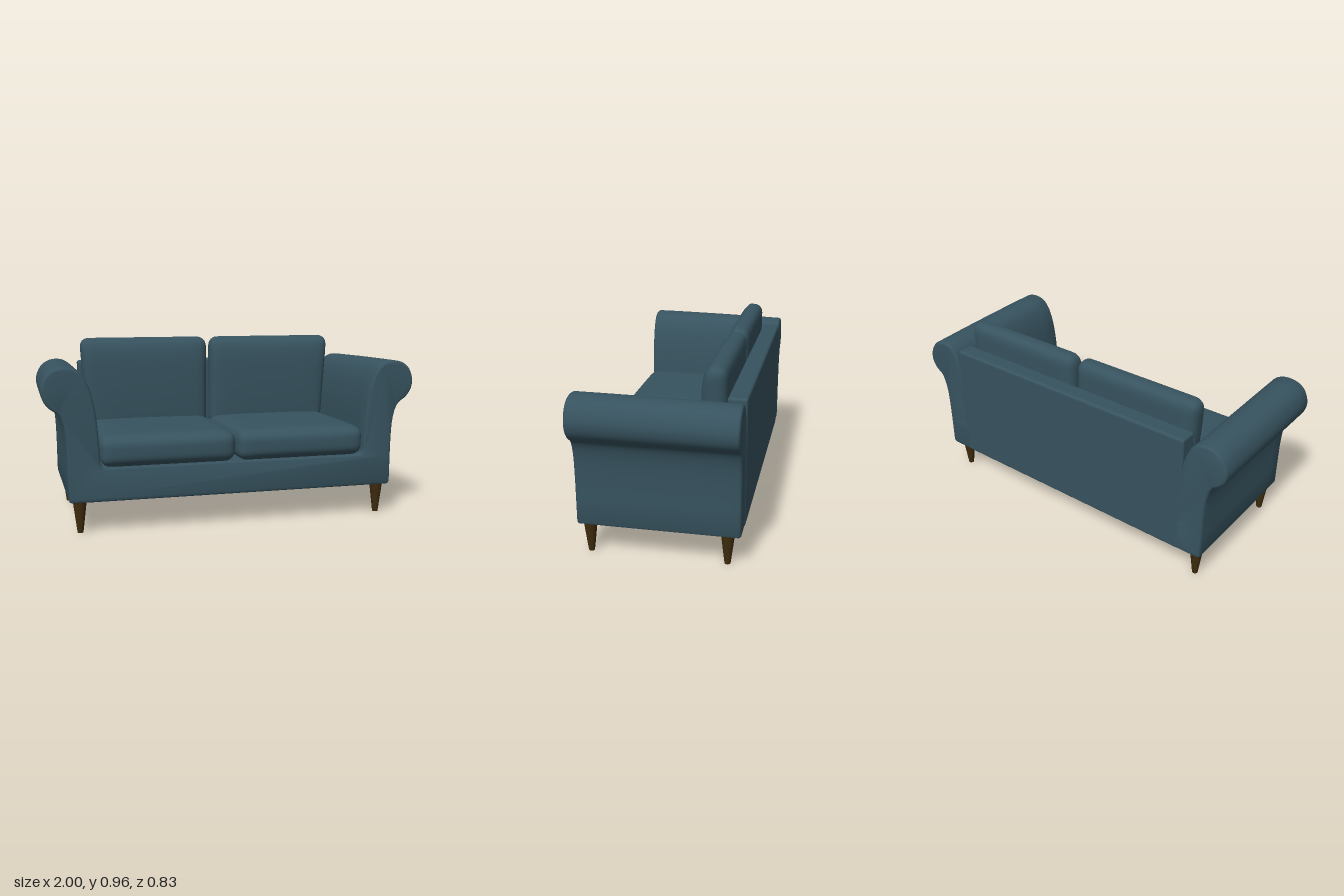
import * as THREE from 'three';
import { mergeVertices, toCreasedNormals } from 'three/addons/utils/BufferGeometryUtils.js';
import { RoundedBoxGeometry } from 'three/addons/geometries/RoundedBoxGeometry.js';

const clamp = THREE.MathUtils.clamp;

// Rounded, evenly smoothed box; rule(p, s) then reshapes each point, s being -1..1 per axis
function softBox(w, h, d, r, rule) {
  const n = 20;
  let geo = new THREE.BoxGeometry(2, 2, 2, n, n, n);
  geo.deleteAttribute('uv');
  geo.deleteAttribute('normal');
  geo = mergeVertices(geo);
  const half = new THREE.Vector3(w / 2, h / 2, d / 2);
  const core = half.clone().subScalar(r);
  const pos = geo.attributes.position;
  const s = new THREE.Vector3(), p = new THREE.Vector3(), q = new THREE.Vector3();
  for (let i = 0; i < pos.count; i++) {
    s.fromBufferAttribute(pos, i);
    s.set(Math.sin(s.x * Math.PI / 2), Math.sin(s.y * Math.PI / 2), Math.sin(s.z * Math.PI / 2));
    p.copy(s).multiply(half);
    q.set(clamp(p.x, -core.x, core.x), clamp(p.y, -core.y, core.y), clamp(p.z, -core.z, core.z));
    p.sub(q).setLength(r).add(q);
    rule(p, s);
    pos.setXYZ(i, p.x, p.y, p.z);
  }
  geo.computeVertexNormals();
  return geo;
}

// Rolled arms and front rail in one profile, slimming slightly towards the back
function bodyGeometry() {
  const roll = new THREE.SplineCurve([
    [0.716, 0.36], [0.72, 0.45], [0.732, 0.6], [0.755, 0.72], [0.79, 0.8], [0.83, 0.836],
    [0.885, 0.847], [0.94, 0.835], [0.98, 0.8], [1.0, 0.74], [0.99, 0.685], [0.96, 0.645],
    [0.92, 0.615], [0.898, 0.57], [0.885, 0.5], [0.88, 0.4], [0.879, 0.3],
  ].map(([x, y]) => new THREE.Vector2(x, y))).getPoints(56);
  const right = [
    new THREE.Vector2(0.69, 0.335), new THREE.Vector2(0.708, 0.342), ...roll,
    new THREE.Vector2(0.878, 0.18), new THREE.Vector2(0.873, 0.168), new THREE.Vector2(0.86, 0.163),
  ];
  const left = right.map((p) => new THREE.Vector2(-p.x, p.y)).reverse();
  const bevel = 0.014, front = 0.398, back = -0.413;
  const geo = new THREE.ExtrudeGeometry(new THREE.Shape([...right, ...left]), {
    depth: front - back - 2 * bevel, steps: 10,
    bevelSize: bevel, bevelThickness: bevel, bevelOffset: -bevel, bevelSegments: 4,
  });
  geo.translate(0, 0, back + bevel);
  const pos = geo.attributes.position;
  for (let i = 0; i < pos.count; i++) {
    const x = pos.getX(i), y = pos.getY(i);
    const t = clamp((front - pos.getZ(i)) / (front - back), 0, 1) ** 1.5;
    const out = clamp((Math.abs(x) - 0.75) / 0.25, 0, 1);
    const up = clamp((y - 0.6) / 0.25, 0, 1);
    pos.setX(i, x - Math.sign(x) * 0.026 * t * out * up);
    pos.setY(i, y - 0.014 * t * up);
  }
  return toCreasedNormals(geo, 0.7);
}

export function createModel() {
  const sofa = new THREE.Group();
  sofa.name = 'sofa';
  const fabric = new THREE.MeshStandardMaterial({ color: 0x37535f });
  fabric.name = 'blue grey fabric';
  const wood = new THREE.MeshStandardMaterial({ color: 0x3f2c0e });
  wood.name = 'dark wood';

  const add = (name, geo, mat, x = 0, y = 0, z = 0) => {
    const mesh = new THREE.Mesh(geo, mat);
    mesh.name = name;
    mesh.position.set(x, y, z);
    sofa.add(mesh);
  };

  add('armsAndBase', bodyGeometry(), fabric);

  // Backrest panel behind the cushions
  add('backPanel', new RoundedBoxGeometry(1.5, 0.658, 0.098, 4, 0.014), fabric, 0, 0.493, -0.367);

  // Underside sheet
  add('undersidePanel', new THREE.BoxGeometry(1.44, 0.008, 0.68), fabric, 0, 0.162, -0.01);

  for (const side of [-1, 1]) {
    const name = side > 0 ? 'left' : 'right';

    // Seat cushion, gently crowned on top and bowed at the front
    const seat = softBox(0.71, 0.16, 0.73, 0.055, (p, s) => {
      const crown = (1 - s.x ** 4) * (1 - s.z ** 4);
      if (s.y > 0) p.y += 0.008 * crown * s.y;
      if (s.z > 0) p.z += 0.008 * (1 - s.x ** 4) * (1 - s.y ** 2) * s.z;
    });
    add(name + 'SeatCushion', seat, fabric, side * 0.36, 0.414, 0.04);

    // Back cushion, flaring outwards and thinning towards the top
    const rest = softBox(0.73, 0.53, 0.125, 0.052, (p, s) => {
      const u = (p.y + 0.265) / 0.53;
      p.x += side * 0.035 * (u - 0.85) * (1 + side * s.x) / 2;
      if (s.z > 0) p.z += 0.012 * (1 - s.x ** 4) * (1 - s.y ** 2) * s.z;
      if (s.z > 0 && u > 0.7) p.z -= 0.02 * ((u - 0.7) / 0.3) ** 2 * s.z;
    });
    add(name + 'BackCushion', rest, fabric, side * 0.376, 0.693, -0.252);

    // Tapered feet
    for (const [end, z] of [['Front', 0.345], ['Back', -0.343]]) {
      add(name + end + 'Leg', new THREE.CylinderGeometry(0.036, 0.015, 0.17, 16), wood, side * 0.82, 0.085, z);
    }
  }
  return sofa;
}
